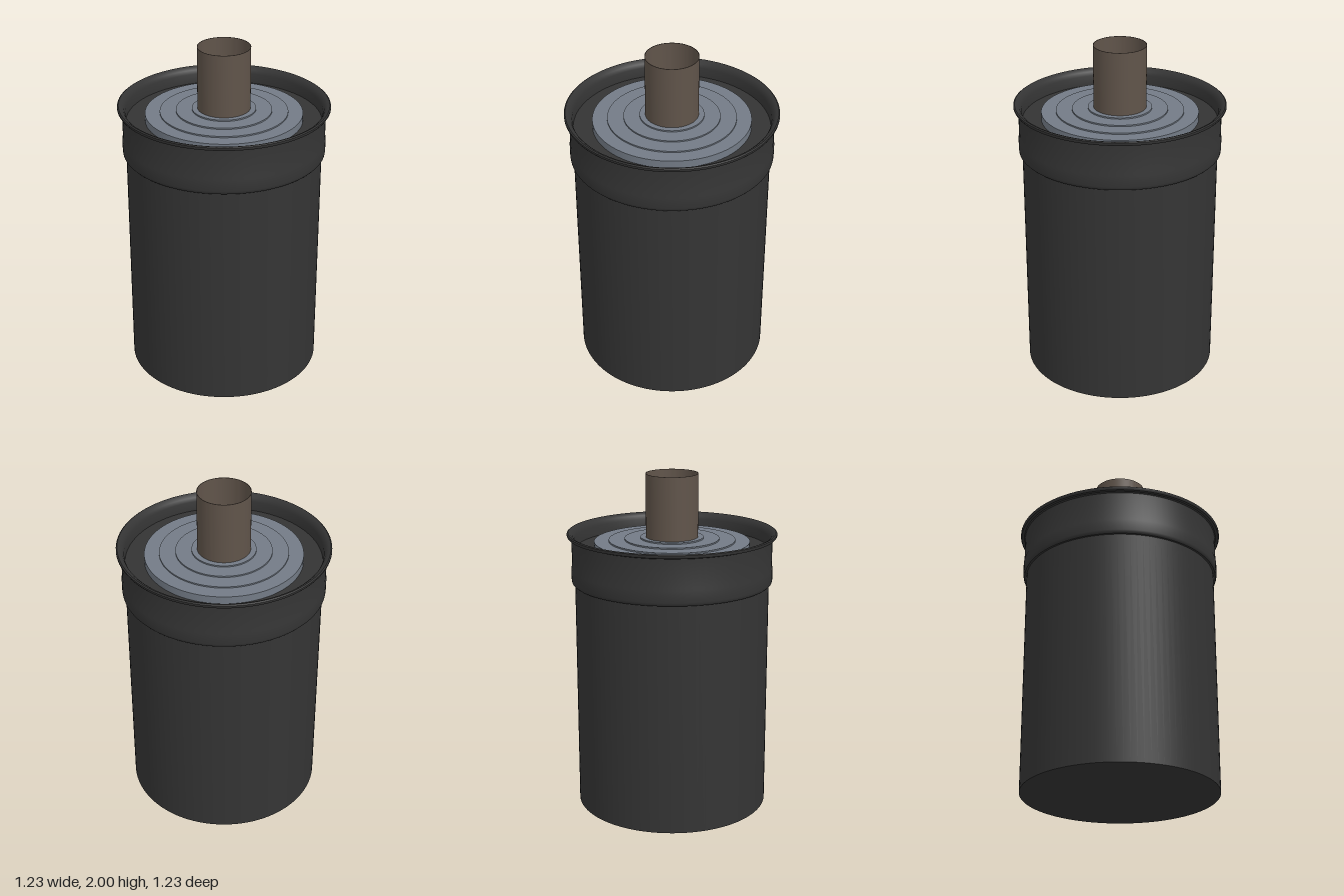
import * as THREE from 'three';
import { toCreasedNormals } from 'three/addons/utils/BufferGeometryUtils.js';

const SEGMENTS = 96;

const paint = (name, color) => {
  const m = new THREE.MeshStandardMaterial({ color });
  m.name = name;
  return m;
};

// Turned part from [radius, height] pairs, outside running upward
function turned(name, profile, material, creaseAngle = 0.6) {
  let geometry = new THREE.LatheGeometry(profile.map(([r, y]) => new THREE.Vector2(r, y)), SEGMENTS);
  if (creaseAngle) geometry = toCreasedNormals(geometry, creaseAngle);
  const mesh = new THREE.Mesh(geometry, material);
  mesh.name = name;
  return mesh;
}

export function createModel() {
  const black = paint('black casing', 0x343434);
  const grey = paint('blue grey plate', 0x737b86);
  const brown = paint('brown tube', 0x60544a);

  const group = new THREE.Group();
  group.name = 'canister';

  // Plain cylinder with a closed bottom
  group.add(turned('body', [[0, 0], [0.57, 0], [0.57, 1.4]], black));

  // Collar with a slight lower bulge, rolled lip, and recessed floor
  group.add(turned('collar', [
    [0.565, 1.365], [0.582, 1.365], [0.588, 1.372], [0.59, 1.385], [0.59, 1.45], [0.586, 1.465],
    [0.586, 1.63], [0.592, 1.637], [0.608, 1.637], [0.613, 1.645], [0.613, 1.655], [0.606, 1.66],
    [0.592, 1.655], [0.578, 1.642], [0.568, 1.62], [0.565, 1.56], [0, 1.56],
  ], black));

  // Plate rising to the centre in shallow rings
  const plate = [[0.455, 1.555], [0.455, 1.605]];
  [0.37, 0.277, 0.185].forEach((r, i) => {
    const y = 1.605 + i * 0.008;
    plate.push([r, y], [r, y + 0.008]);
  });
  plate.push([0.145, 1.629]);
  group.add(turned('ringedPlate', plate, grey));

  // Hollow outlet tube: outer wall, thin rim, inner wall
  group.add(turned('tube', [[0.153, 1.56], [0.153, 2], [0.15, 2], [0.15, 1.64]], brown));
  // Dished tube floor
  group.add(turned('tubeFloor', [[0.151, 1.72], [0.13, 1.67], [0.08, 1.63], [0, 1.615]], brown, 0));

  return group;
}
